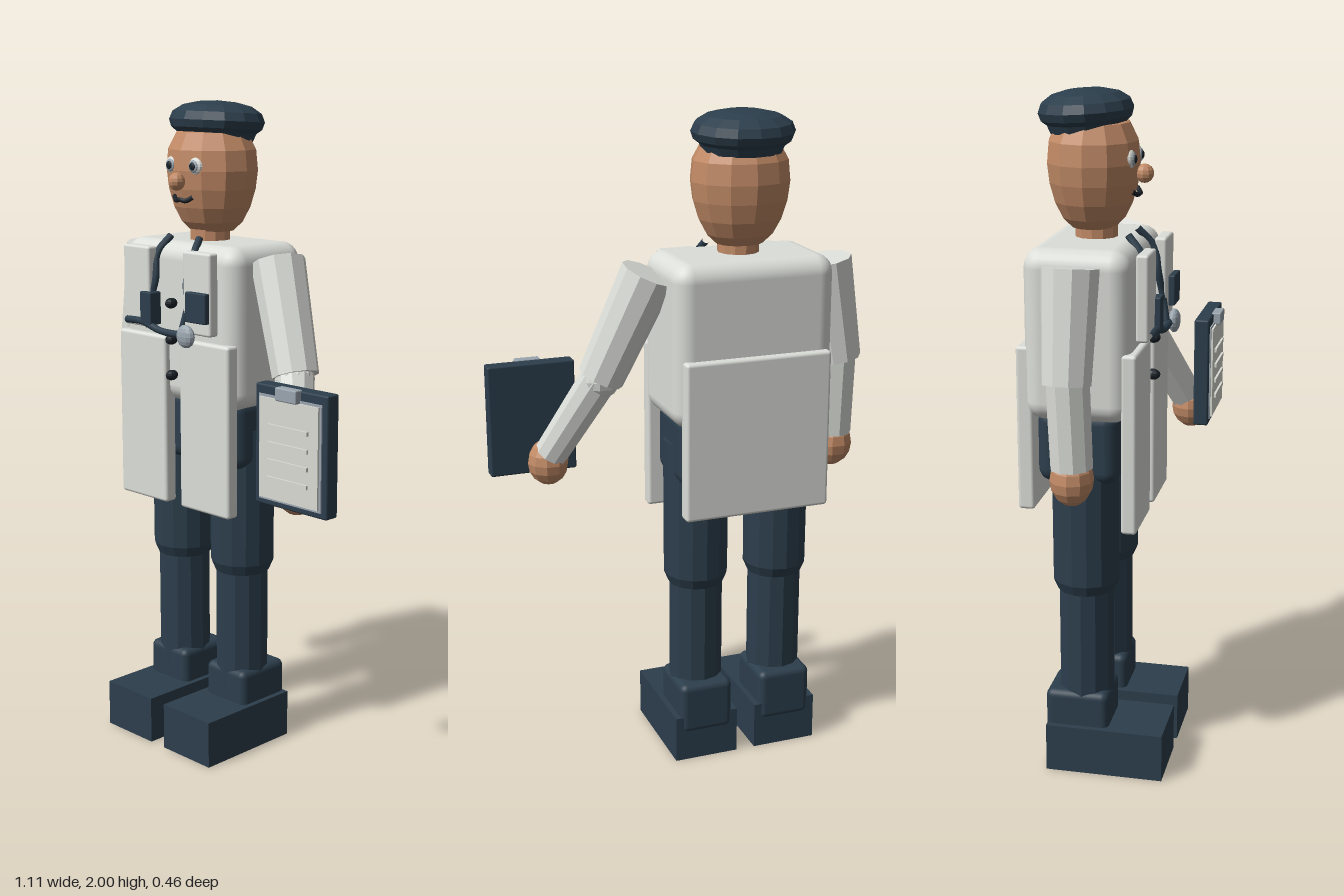
import * as THREE from 'three';
import { RoundedBoxGeometry } from 'three/addons/geometries/RoundedBoxGeometry.js';

const mat = (name, color) => {
  const m = new THREE.MeshStandardMaterial({ color });
  m.name = name;
  return m;
};

export function createModel() {
  const model = new THREE.Group();
  model.name = 'inspector';
  const coat = mat('coat white', 0xdcded9);
  const navy = mat('navy', 0x2c3e4c);
  const skin = mat('skin', 0xc18a66);
  const silver = mat('silver', 0x9aa5ae);
  const black = mat('black', 0x1b2229);
  const paper = mat('paper', 0xd8dad2);
  const CX = -0.16; // the body's own centre line

  const add = (name, geo, material, x = 0, y = 0, z = 0) => {
    const mesh = new THREE.Mesh(geo, material);
    mesh.name = name;
    mesh.position.set(x, y, z);
    model.add(mesh);
    return mesh;
  };
  // Facet a geometry
  const flat = (geo) => {
    const g = geo.index ? geo.toNonIndexed() : geo;
    g.computeVertexNormals();
    return g;
  };
  // Box given by its minimum and maximum corners
  const box = (name, material, [x0, y0, z0], [x1, y1, z1], r = 0) => {
    const size = [x1 - x0, y1 - y0, z1 - z0];
    const geo = r ? new RoundedBoxGeometry(...size, 3, r) : new THREE.BoxGeometry(...size);
    return add(name, geo, material, (x0 + x1) / 2, (y0 + y1) / 2, (z0 + z1) / 2);
  };
  // Faceted limb from point a to point b
  const limb = (name, material, a, b, ra, rb, sides = 10) => {
    const p = new THREE.Vector3(...a), q = new THREE.Vector3(...b);
    const dir = p.clone().sub(q);
    const mid = p.clone().add(q).multiplyScalar(0.5);
    const mesh = add(name, flat(new THREE.CylinderGeometry(ra, rb, dir.length(), sides)), material, mid.x, mid.y, mid.z);
    mesh.quaternion.setFromUnitVectors(new THREE.Vector3(0, 1, 0), dir.normalize());
    return mesh;
  };
  const ball = (name, material, x, y, z, rx, ry = rx, rz = rx, w = 10, h = 8) =>
    add(name, flat(new THREE.SphereGeometry(1, w, h).scale(rx, ry, rz)), material, x, y, z);
  const lathe = (name, material, pts, sides, sz, x, y, z) => {
    const geo = new THREE.LatheGeometry(pts.map((p) => new THREE.Vector2(...p)), sides).scale(1, 1, sz);
    return add(name, flat(geo), material, x, y, z);
  };
  const tube = (name, material, pts, r) => {
    const curve = new THREE.CatmullRomCurve3(pts.map((p) => new THREE.Vector3(...p)));
    return add(name, new THREE.TubeGeometry(curve, 20, r, 8), material);
  };

  // Torso, hips and neck
  box('torso', coat, [-0.41, 1.1, -0.21], [0.088, 1.59, 0.095], 0.055);
  box('hips', navy, [-0.38, 0.91, -0.18], [0.06, 1.13, 0.055], 0.04);
  limb('neck', skin, [CX, 1.66, -0.05], [CX, 1.56, -0.05], 0.062, 0.062, 12);

  // Head and cap
  lathe('head', skin, [[0, 1.615], [0.07, 1.617], [0.1, 1.645], [0.125, 1.69], [0.142, 1.745],
    [0.149, 1.8], [0.143, 1.86], [0.115, 1.91], [0, 1.945]], 12, 0.9, CX, 0, -0.057);
  const cap = lathe('cap', navy, [[0, -0.06], [0.118, -0.058], [0.128, -0.035], [0.146, -0.022], [0.154, 0.0],
    [0.143, 0.025], [0.11, 0.045], [0.06, 0.056], [0, 0.06]], 14, 0.88, CX, 1.942, -0.078);
  cap.rotation.x = -0.06;

  // Face
  for (const s of [-1, 1]) {
    const x = CX + s * 0.05;
    ball('eye', coat, x, 1.815, 0.056, 0.027, 0.027, 0.016, 14, 10);
    ball('iris', silver, x, 1.815, 0.067, 0.019, 0.019, 0.007, 12, 8);
    ball('pupil', black, x, 1.815, 0.072, 0.012, 0.012, 0.005, 12, 8);
  }
  ball('nose', skin, CX, 1.77, 0.088, 0.025, 0.027, 0.027);
  tube('mouth', black, [[CX - 0.04, 1.724, 0.06], [CX - 0.02, 1.713, 0.072], [CX, 1.716, 0.076],
    [CX + 0.02, 1.713, 0.072], [CX + 0.04, 1.724, 0.06]], 0.007);

  // Legs and shoes
  for (const s of [-1, 1]) {
    const x = CX + s * 0.132, z = -0.055;
    lathe('thigh', navy, [[0, 0.565], [0.085, 0.567], [0.099, 0.6], [0.1, 1.03], [0, 1.03]], 14, 1, x, 0, z);
    limb('shin', navy, [x, 0.6, z], [x, 0.18, z], 0.083, 0.083, 12);
    box('ankle', navy, [x - 0.085, 0.09, -0.165], [x + 0.085, 0.255, 0.025], 0.022);
    box('shoe', navy, [x - 0.102, 0, -0.16], [x + 0.102, 0.147, 0.192]);
  }

  // Coat skirts, lapels and buttons
  for (const s of [-1, 1]) {
    const x = CX + s * 0.136;
    box('frontCoatPanel', coat, [x - 0.105, 0.78, 0.07], [x + 0.105, 1.305, 0.115], 0.01);
    const l = CX + s * 0.132;
    box('lapel', coat, [l - 0.058, 1.33, 0.102], [l + 0.058, 1.575, 0.138], 0.008);
  }
  box('backCoatPanel', coat, [-0.387, 0.83, -0.233], [0.067, 1.312, -0.185], 0.01);
  for (const y of [1.19, 1.3, 1.41]) ball('button', black, CX, y, 0.115, 0.016, 0.016, 0.022);
  box('badge', navy, [-0.055, 1.37, 0.138], [0.03, 1.46, 0.158], 0.004);
  box('pocketPen', navy, [-0.258, 1.34, 0.11], [-0.21, 1.44, 0.155], 0.004);

  // Listening tube around the neck with its disc
  for (const s of [-1, 1]) {
    tube('neckTube', navy, [[CX + s * 0.062, 1.605, 0.055], [CX + s * 0.078, 1.55, 0.1],
      [CX + s * 0.068, 1.48, 0.115], [CX + s * 0.082, 1.41, 0.125], [CX + s * 0.07, 1.33, 0.14]], 0.011);
  }
  tube('crossTube', navy, [[-0.335, 1.345, 0.138], [-0.26, 1.347, 0.143], [-0.17, 1.328, 0.147], [-0.06, 1.327, 0.147]], 0.011);
  ball('listeningDisc', silver, -0.053, 1.327, 0.157, 0.035, 0.035, 0.018, 12, 8);

  // Right arm hanging down
  limb('rightUpperArm', coat, [-0.435, 1.55, -0.06], [-0.49, 1.24, -0.06], 0.082, 0.07);
  limb('rightForearm', coat, [-0.482, 1.27, -0.06], [-0.48, 1.0, -0.05], 0.063, 0.061);
  ball('rightHand', skin, -0.48, 0.965, -0.05, 0.066, 0.075, 0.062);

  // Left arm reaching forward
  limb('leftUpperArm', coat, [0.12, 1.545, -0.055], [0.25, 1.23, 0.005], 0.082, 0.07);
  ball('leftElbow', coat, 0.25, 1.225, 0.01, 0.06);
  limb('leftForearm', coat, [0.25, 1.23, 0.01], [0.375, 0.97, 0.125], 0.058, 0.052);
  ball('leftHand', skin, 0.382, 0.94, 0.137, 0.064, 0.072, 0.062);

  // Clipboard with sheet, ruled lines and clip
  box('clipboard', navy, [0.285, 0.9, 0.16], [0.555, 1.247, 0.207], 0.006);
  box('sheetBorder', silver, [0.303, 0.918, 0.205], [0.537, 1.22, 0.211]);
  box('sheet', paper, [0.31, 0.925, 0.21], [0.53, 1.213, 0.217]);
  for (let i = 0; i < 4; i++) {
    const y = 1.135 - i * 0.05;
    box('ruledLine', paper, [0.345, y - 0.006, 0.216], [0.495, y + 0.006, 0.224]);
  }
  box('clip', silver, [0.38, 1.212, 0.2], [0.458, 1.25, 0.23], 0.004);

  return model;
}
